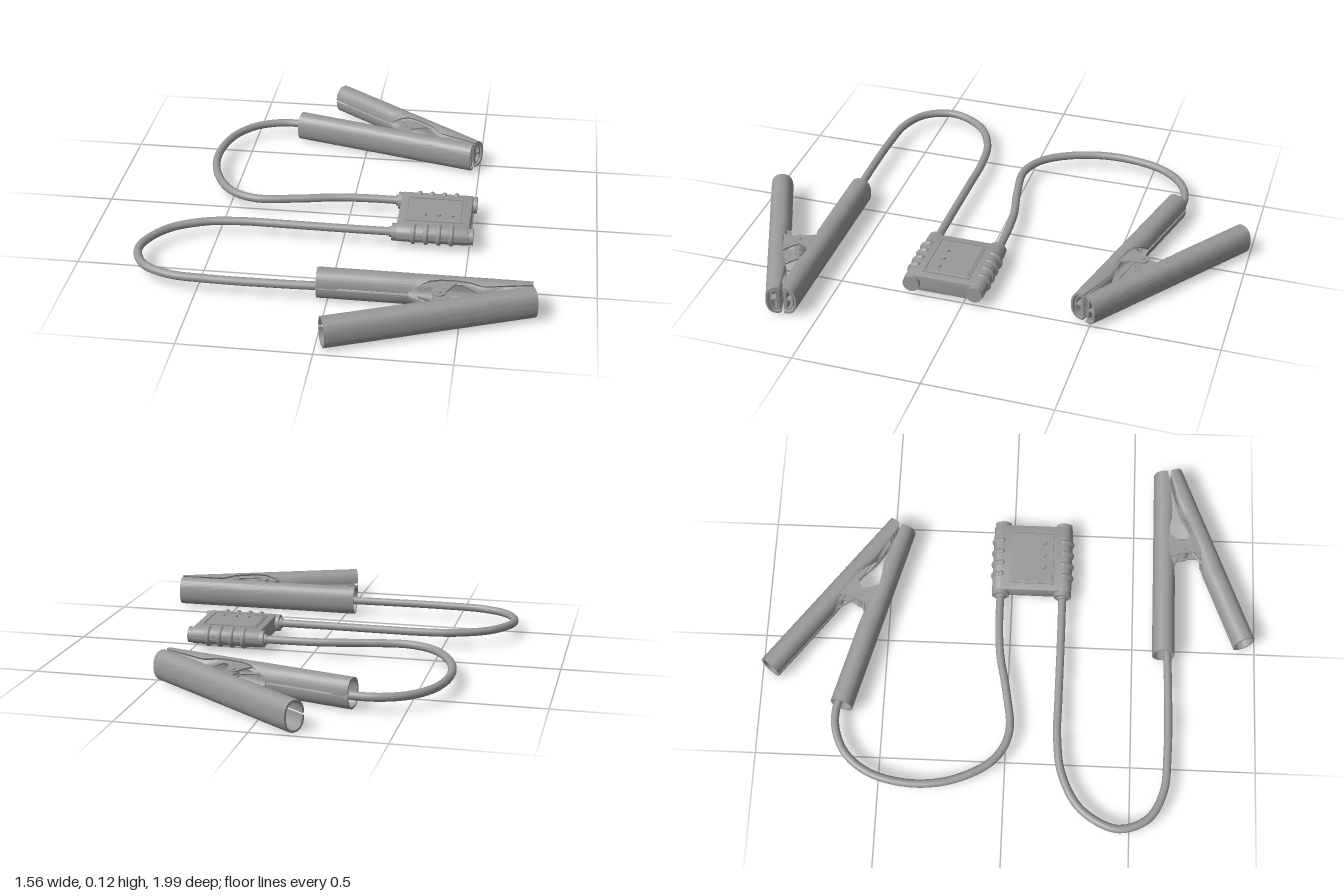
import * as THREE from 'three';
import { toCreasedNormals } from 'three/addons/utils/BufferGeometryUtils.js';
import { RoundedBoxGeometry } from 'three/addons/geometries/RoundedBoxGeometry.js';

const grey = new THREE.MeshStandardMaterial({ color: 0x999999 });

function add(parent, name, geometry, x = 0, y = 0, z = 0) {
  const mesh = new THREE.Mesh(geometry, grey);
  mesh.name = name;
  mesh.position.set(x, y, z);
  parent.add(mesh);
  return mesh;
}

// Hollow half-open tube along x; each station [x, depth] cuts its oval section at z = depth
function openTube(stations, ry, rz, wall) {
  const N = 28, zc = 0.045, pos = [], idx = [], ring = 2 * (N + 1);
  const pow = (v, e) => Math.sign(v) * Math.abs(v) ** e;
  for (const [x, depth] of stations) {
    const u = THREE.MathUtils.clamp((zc - depth) / rz, -0.999, 0.999);
    const max = Math.acos(pow(u, 1 / 0.85));
    for (let j = 0; j < ring; j++) {
      const outer = j <= N, k = outer ? j : ring - 1 - j, t = outer ? 0 : wall;
      const a = max * (2 * k / N - 1);
      pos.push(x, (ry - t) * pow(Math.sin(a), 0.85), zc - (rz - t) * pow(Math.cos(a), 0.85));
    }
  }
  const last = (stations.length - 1) * ring;
  for (let i = 0; i < last; i += ring) {
    for (let j = 0; j < ring; j++) {
      const a = i + j, b = i + (j + 1) % ring;
      idx.push(a, b, a + ring, b, b + ring, a + ring);
    }
  }
  // End rims
  for (let j = 0; j < N; j++) {
    const o = j, p = j + 1, q = ring - 1 - j, r = ring - 2 - j;
    idx.push(o, q, p, p, q, r);
    idx.push(last + o, last + p, last + q, last + p, last + r, last + q);
  }
  const g = new THREE.BufferGeometry();
  g.setAttribute('position', new THREE.Float32BufferAttribute(pos, 3));
  g.setIndex(idx);
  return toCreasedNormals(g, 0.7);
}

const PIVOT = { x: 0.46, z: 0.125 };

// One clamp arm: handle at x = 0, jaw tip at x = 0.8, opening toward +z
function clampArm(name, lugY) {
  const arm = new THREE.Group();
  arm.name = name;
  add(arm, 'handleSleeve', openTube([[0, 0.09], [0.12, 0.09], [0.24, 0.09], [0.34, 0.09],
    [0.38, 0.083], [0.42, 0.068], [0.46, 0.06], [0.52, 0.058], [0.57, 0.063],
    [0.62, 0.074], [0.66, 0.071], [0.73, 0.063], [0.8, 0.054]], 0.06, 0.045, 0.008));
  add(arm, 'jawLiner', openTube([[0.38, 0.075], [0.46, 0.062], [0.54, 0.062], [0.62, 0.076],
    [0.7, 0.068], [0.795, 0.056]], 0.047, 0.031, 0.006));

  // Hinge lugs reaching to the pin
  const s = new THREE.Shape();
  s.moveTo(0.39, 0.04);
  s.lineTo(0.54, 0.04);
  s.quadraticCurveTo(0.5, 0.08, PIVOT.x + 0.025, PIVOT.z);
  s.absarc(PIVOT.x, PIVOT.z, 0.025, 0, Math.PI, false);
  s.quadraticCurveTo(0.43, 0.08, 0.39, 0.04);
  for (const side of [-1, 1]) {
    const lug = new THREE.ExtrudeGeometry(s, { depth: 0.006, bevelEnabled: false, curveSegments: 8 });
    lug.translate(0, 0, -0.003).rotateX(Math.PI / 2);
    add(arm, 'hingeLug', lug, 0, side * lugY, 0);
  }

  // Gripping plates and teeth at the tip
  add(arm, 'jawPlate', new THREE.BoxGeometry(0.03, 0.08, 0.008), 0.78, 0, 0.045);
  add(arm, 'jawWeb', new THREE.BoxGeometry(0.03, 0.008, 0.03), 0.78, 0, 0.03);
  for (let i = 0; i < 4; i++) {
    add(arm, 'tooth', new THREE.CylinderGeometry(0.007, 0.007, 0.08, 4), 0.735 + i * 0.018, 0, 0.057 - i * 0.0025);
  }
  return arm;
}

function clamp(name) {
  const g = new THREE.Group();
  g.name = name;
  g.add(clampArm('cableArm', 0.043));

  // Second arm is the first turned over the line between the jaws
  const second = clampArm('freeArm', 0.035);
  const half = 0.191, apex = new THREE.Vector3(1.11, 0, 0);
  second.quaternion.setFromAxisAngle(new THREE.Vector3(-Math.cos(half), 0, Math.sin(half)), Math.PI);
  second.position.copy(apex).sub(apex.clone().applyQuaternion(second.quaternion));
  g.add(second);

  // Pin and coil spring with two legs
  add(g, 'hingePin', new THREE.CylinderGeometry(0.01, 0.01, 0.1, 16), PIVOT.x, 0, PIVOT.z);
  const coil = [];
  for (let i = 0; i <= 60; i++) {
    const a = i / 12 * Math.PI * 2;
    coil.push(new THREE.Vector3(PIVOT.x + 0.019 * Math.cos(a), -0.025 + i * 0.05 / 60, PIVOT.z + 0.019 * Math.sin(a)));
  }
  coil.unshift(new THREE.Vector3(0.37, -0.025, 0.07));
  coil.push(new THREE.Vector3(0.4, 0.025, 0.2));
  add(g, 'spring', new THREE.TubeGeometry(new THREE.CatmullRomCurve3(coil), 140, 0.005, 6));
  return g;
}

// Cable through [x, z] points at a constant height
function cable(parent, name, points) {
  const curve = new THREE.CatmullRomCurve3(points.map(([x, z]) => new THREE.Vector3(x, 0.057, z)));
  add(parent, name, new THREE.TubeGeometry(curve, 120, 0.0165, 14));
}

function controlBox() {
  const box = new THREE.Group();
  box.name = 'controlBox';
  const R = 0.036, off = 0.127;

  // Body with rounded long sides, running along x
  const s = new THREE.Shape();
  s.absarc(off, 0, R, -Math.PI / 2, Math.PI / 2, false);
  s.absarc(-off, 0, R, Math.PI / 2, Math.PI * 1.5, false);
  const body = new THREE.ExtrudeGeometry(s, {
    depth: 0.276, bevelThickness: 0.006, bevelSize: 0.006, bevelOffset: -0.006, bevelSegments: 2, curveSegments: 16
  });
  body.translate(0, 0, -0.138).rotateY(Math.PI / 2);
  add(box, 'body', toCreasedNormals(body, 0.6));

  for (const side of [-1, 1]) {
    // End plugs and cable collars
    const plug = new THREE.CylinderGeometry(0.033, 0.035, 0.32, 28).rotateZ(-Math.PI / 2);
    add(box, 'endPlug', plug, 0, 0, side * off);
    const collar = new THREE.CylinderGeometry(0.022, 0.022, 0.03, 20).rotateZ(Math.PI / 2);
    add(box, 'cableCollar', collar, -0.155, 0, side * off);

    // Grip ridges wrapped around each long side
    for (let i = 0; i < 4; i++) {
      const x = -0.075 + i * 0.05;
      const ridge = new THREE.TorusGeometry(R - 0.003, 0.011, 8, 20, Math.PI);
      ridge.rotateZ(-Math.PI / 2).rotateY(side > 0 ? -Math.PI / 2 : Math.PI / 2);
      add(box, 'gripRidge', ridge, x, 0, side * off);
      for (const y of [-1, 1]) {
        add(box, 'ridgeEnd', new THREE.SphereGeometry(0.011, 12, 8), x, y * (R - 0.003), side * off);
      }
    }
  }

  // Framed top panel with three buttons
  add(box, 'topPanel', new RoundedBoxGeometry(0.21, 0.006, 0.17, 2, 0.002), 0, 0.0355, 0);
  for (const side of [-1, 1]) {
    add(box, 'panelFrameLong', new THREE.BoxGeometry(0.232, 0.006, 0.006), 0, 0.037, side * 0.091);
    add(box, 'panelFrameShort', new THREE.BoxGeometry(0.006, 0.006, 0.188), side * 0.113, 0.037, 0);
  }
  for (let i = -1; i <= 1; i++) {
    add(box, 'button', new THREE.CylinderGeometry(0.01, 0.012, 0.008, 20), 0.013 + i * 0.054, 0.041, 0.044);
  }
  return box;
}

export function createModel() {
  const model = new THREE.Group();
  model.name = 'jumperCables';

  const box = controlBox();
  box.position.set(0.355, 0.057, 0.08);
  model.add(box);

  const front = clamp('frontClamp');
  front.position.set(-0.04, 0.063, 0.578);
  model.add(front);

  const back = clamp('backClamp');
  back.rotation.set(Math.PI, -0.26, 0, 'YXZ');
  back.position.set(-0.315, 0.06, -0.62);
  model.add(back);

  cable(model, 'frontCable', [[0.22, 0.207], [0, 0.207], [-0.25, 0.205], [-0.4, 0.205], [-0.55, 0.227],
    [-0.69, 0.305], [-0.764, 0.45], [-0.72, 0.57], [-0.61, 0.63], [-0.45, 0.645], [-0.2, 0.645], [0.04, 0.637]]);
  cable(model, 'backCable', [[0.22, -0.047], [0.08, -0.047], [-0.06, -0.037], [-0.22, -0.005], [-0.39, 0.013],
    [-0.5, -0.04], [-0.585, -0.18], [-0.615, -0.35], [-0.58, -0.53], [-0.5, -0.635], [-0.4, -0.68],
    [-0.31, -0.682], [-0.23, -0.655]]);
  return model;
}
